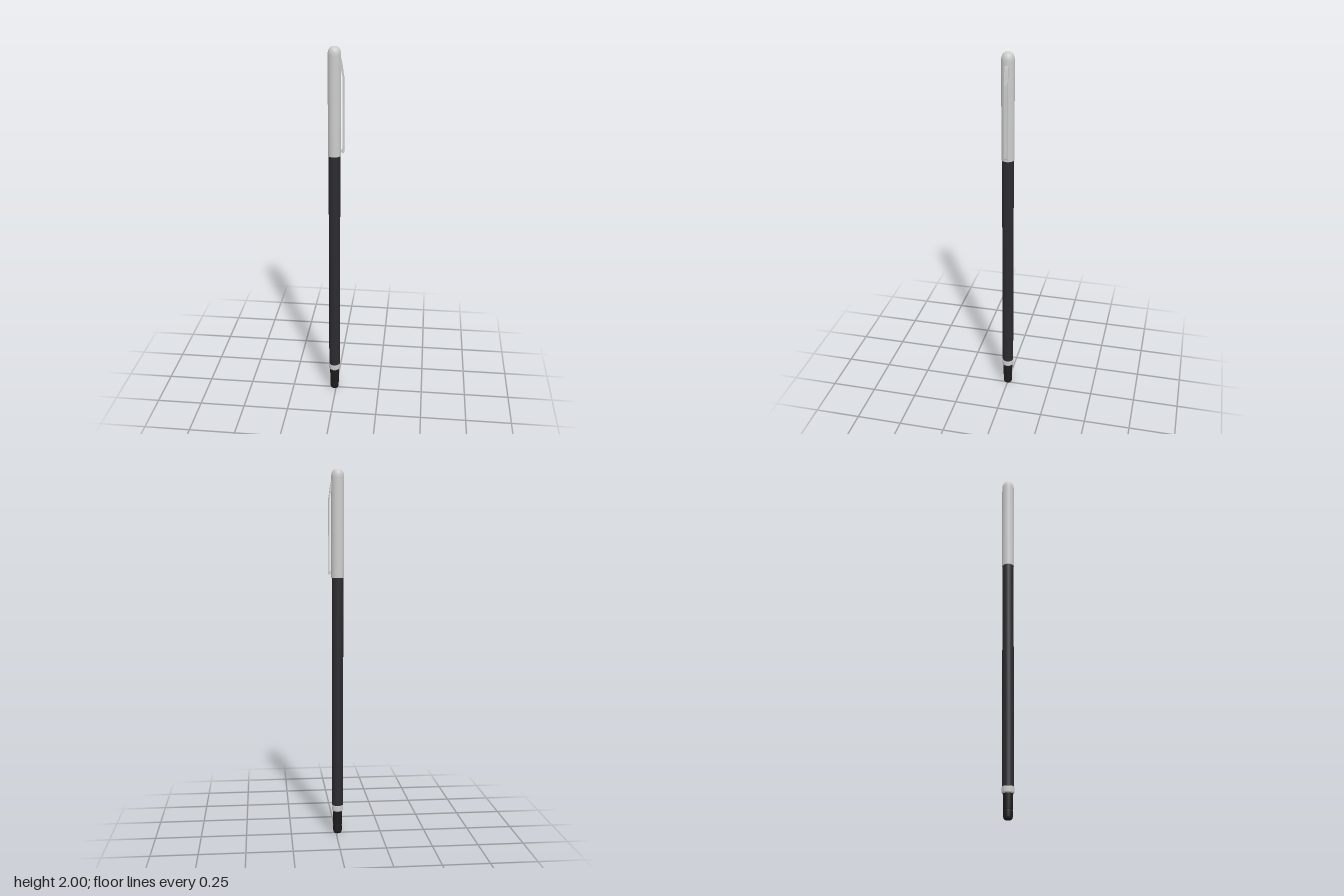
import * as THREE from 'three';

const AXIS_X = -0.009;

export function createModel() {
  const model = new THREE.Group();
  const grey = new THREE.MeshStandardMaterial({ color: 0xcccccc });
  const dark = new THREE.MeshStandardMaterial({ color: 0x2b2b30 });
  const black = new THREE.MeshStandardMaterial({ color: 0x1c1c1e });

  const add = (name, geometry, material) => {
    const mesh = new THREE.Mesh(geometry, material);
    mesh.name = name;
    mesh.position.x = AXIS_X;
    model.add(mesh);
  };

  // Turned part: radius/height profile from bottom to top, corners kept crisp by a fine bevel
  const turned = (name, profile, material) =>
    add(name, new THREE.LatheGeometry(profile.map(([r, y]) => new THREE.Vector2(r, y)), 48), material);

  // Quarter-ellipse rounding from (r0, y0) to (r1, y1), bulging outward
  const dome = (r0, y0, r1, y1, n = 8) =>
    Array.from({ length: n + 1 }, (_, i) => {
      const a = (i / n) * Math.PI / 2;
      return [r1 + (r0 - r1) * Math.cos(a), y0 + (y1 - y0) * Math.sin(a)];
    });

  // Soft tip with a rounded nose and a fine seam
  turned('tip', [
    [0, 0], ...dome(0.024, 0.016, 0.014, 0).reverse(),
    [0.0245, 0.045], [0.0235, 0.047], [0.0235, 0.049], [0.025, 0.051],
    [0.026, 0.12], [0.026, 0.135],
  ], black);

  // Metal collar between tip and barrel
  turned('collar', [
    [0, 0.13], [0.028, 0.13], [0.0315, 0.134], [0.032, 0.138],
    [0.032, 0.162], [0.031, 0.165], [0, 0.165],
  ], grey);

  // Long straight barrel
  turned('barrel', [
    [0, 0.164], [0.0305, 0.164], [0.031, 0.166], [0.031, 1.44], [0, 1.44],
  ], dark);

  // Cap with a domed end
  turned('cap', [
    [0, 1.43], [0.033, 1.43], [0.034, 1.432], [0.034, 1.955],
    ...dome(0.034, 1.96, 0.012, 1.998), [0.006, 1.9996], [0, 2],
  ], grey);

  // Pocket clip: side outline of a bent strip, extruded across its width
  const outline = new THREE.Shape();
  outline.moveTo(0.028, 1.945);
  outline.lineTo(0.034, 1.938);
  outline.quadraticCurveTo(0.041, 1.91, 0.046, 1.865);
  outline.quadraticCurveTo(0.05, 1.85, 0.05, 1.83);
  outline.lineTo(0.051, 1.455);
  outline.quadraticCurveTo(0.05, 1.447, 0.044, 1.447);
  outline.lineTo(0.036, 1.455);
  outline.lineTo(0.036, 1.463);
  outline.lineTo(0.044, 1.472);
  outline.lineTo(0.043, 1.83);
  outline.quadraticCurveTo(0.042, 1.85, 0.038, 1.87);
  outline.lineTo(0.028, 1.905);
  const clip = new THREE.ExtrudeGeometry(outline, { depth: 0.019, bevelEnabled: false, curveSegments: 8 });
  clip.translate(0, 0, -0.0095);
  add('clip', clip, grey);

  return model;
}
